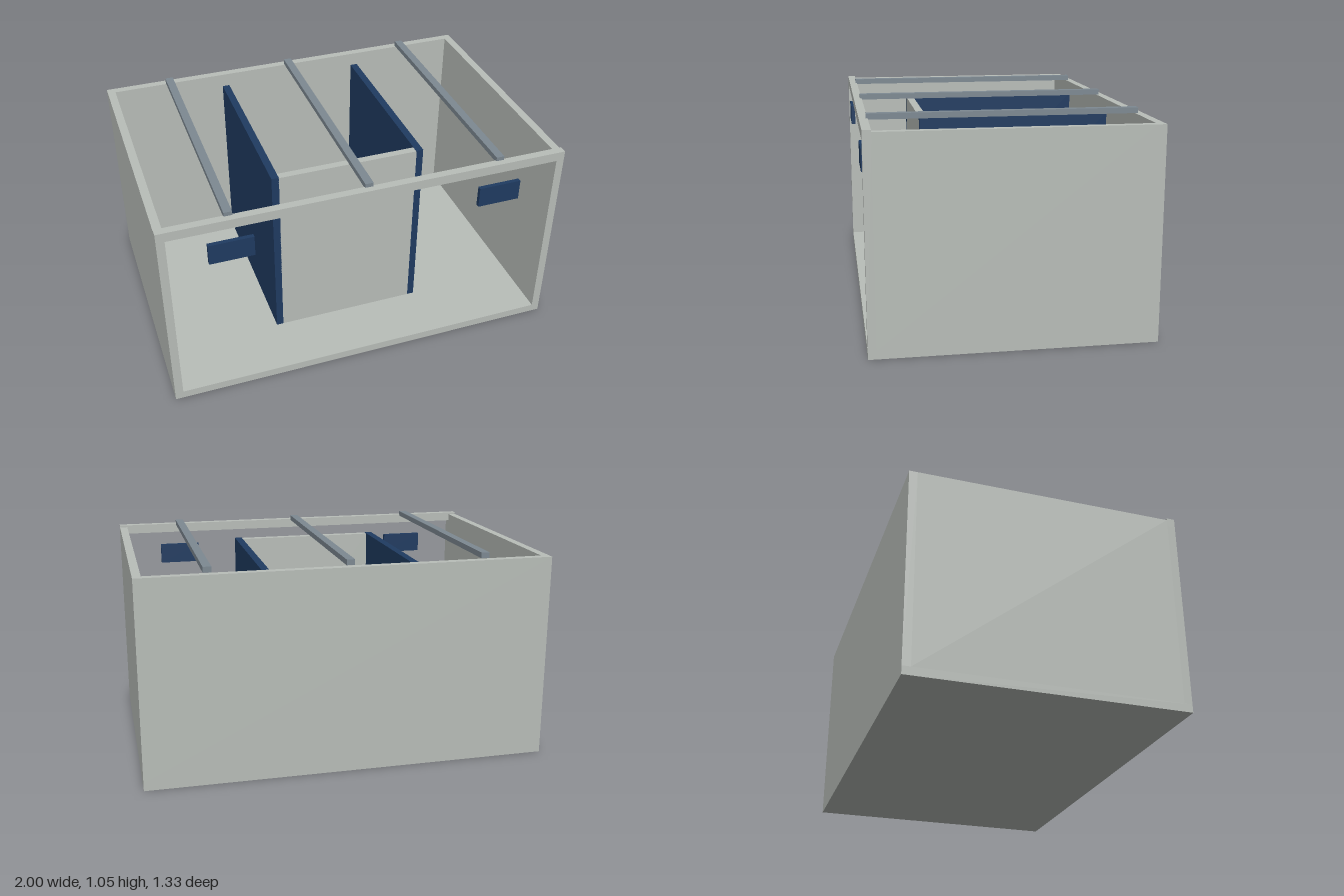
import * as THREE from 'three';

export function createModel() {
  const model = new THREE.Group();
  model.name = 'exhibitionBooth';

  const mat = (name, color) => {
    const m = new THREE.MeshStandardMaterial({ color });
    m.name = name;
    return m;
  };
  const panelGrey = mat('panelGrey', 0xb9beb9);
  const navy = mat('navyBlue', 0x1f3b61);
  const steel = mat('steelGrey', 0x7d8992);

  // Box given by its extents on each axis
  const box = (name, material, [x0, x1], [y0, y1], [z0, z1]) => {
    const mesh = new THREE.Mesh(new THREE.BoxGeometry(x1 - x0, y1 - y0, z1 - z0), material);
    mesh.position.set((x0 + x1) / 2, (y0 + y1) / 2, (z0 + z1) / 2);
    mesh.name = name;
    model.add(mesh);
  };

  // Outer shell, open at the front and top
  const floorTop = 0.04, wallTop = 1.017, depth = 0.667, inner = 0.627;
  box('floor', panelGrey, [-1, 1], [0, floorTop], [-depth, depth]);
  box('backWall', panelGrey, [-1, 1], [floorTop, wallTop], [-depth, -inner]);
  box('frontHeader', panelGrey, [-1, 1], [0.98, 1.027], [inner, depth]);

  // Inner cabin front, between the two partitions
  box('cabinFrontWall', panelGrey, [-0.355, 0.355], [floorTop, 0.978], [0.327, 0.365]);

  // Mirrored side walls, partitions and hanging signs
  for (const [side, s] of [['left', 1], ['right', -1]]) {
    const span = (a, b) => (s > 0 ? [a, b] : [-b, -a]);
    box(side + 'SideWall', panelGrey, span(0.96, 1), [floorTop, wallTop], [-inner, inner]);
    box(side + 'FrontPost', panelGrey, span(0.96, 1), [floorTop, 0.98], [inner, depth]);
    box(side + 'Partition', navy, span(0.353, 0.39), [floorTop, 0.98], [-0.57, 0.365]);
    box(side + 'Sign', navy, span(0.56, 0.775), [0.8, 0.905], [0.645, 0.666]);
  }

  // Roof beams running front to back
  for (const x of [-0.667, 0, 0.667]) {
    box('roofBeam', steel, [x - 0.02, x + 0.02], [1.02, 1.047], [-0.635, 0.635]);
  }

  return model;
}
